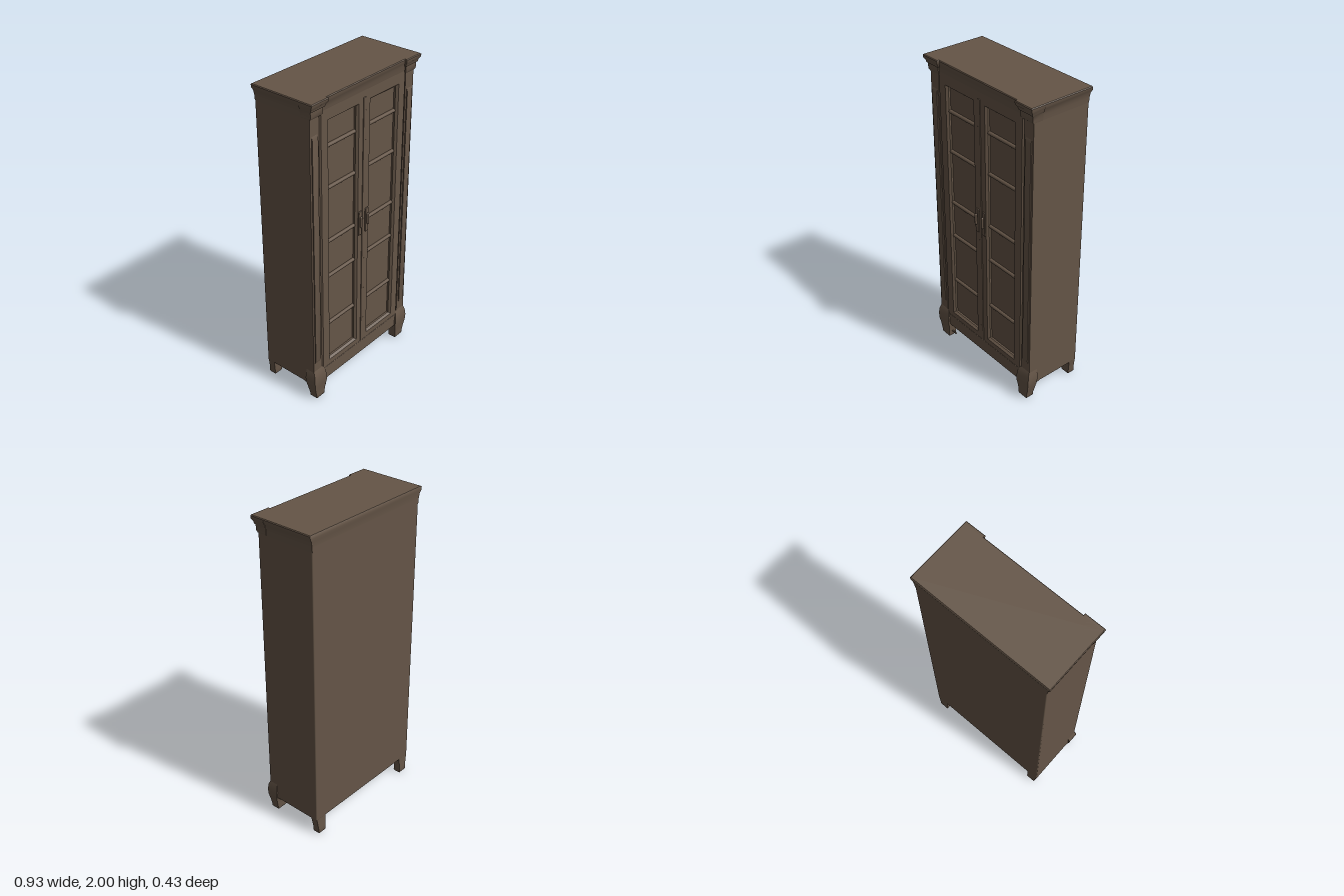
import * as THREE from 'three';
import { toCreasedNormals } from 'three/addons/utils/BufferGeometryUtils.js';
import { RoundedBoxGeometry } from 'three/addons/geometries/RoundedBoxGeometry.js';

const wood = new THREE.MeshStandardMaterial({ color: 0x655547 });
wood.name = 'brown wood';

export function createModel() {
  const model = new THREE.Group();
  model.name = 'cabinet';

  const add = (name, geometry) => {
    const mesh = new THREE.Mesh(geometry, wood);
    mesh.name = name;
    model.add(mesh);
    return mesh;
  };

  // Rounded box given by its limits
  const box = (name, x0, x1, y0, y1, z0, z1, r = 0.004) =>
    add(name, new RoundedBoxGeometry(x1 - x0, y1 - y0, z1 - z0, 2, r))
      .position.set((x0 + x1) / 2, (y0 + y1) / 2, (z0 + z1) / 2);

  // Stack of rectangles [y, x0, x1, z0, z1], bottom to top, with capped ends
  const loft = (name, rows) => {
    const pos = [], idx = [];
    for (const [y, x0, x1, z0, z1] of rows) pos.push(x0, y, z1, x1, y, z1, x1, y, z0, x0, y, z0);
    for (let i = 0; i < rows.length - 1; i++) {
      for (let k = 0; k < 4; k++) {
        const a = i * 4 + k, b = i * 4 + (k + 1) % 4;
        idx.push(a, b, b + 4, a, b + 4, a + 4);
      }
    }
    const t = (rows.length - 1) * 4;
    idx.push(0, 2, 1, 0, 3, 2, t, t + 1, t + 2, t, t + 2, t + 3);
    const g = new THREE.BufferGeometry();
    g.setAttribute('position', new THREE.Float32BufferAttribute(pos, 3));
    g.setIndex(idx);
    return add(name, toCreasedNormals(g, 0.7));
  };

  // The same stack for the left (+x) or right (-x) side
  const sideLoft = (name, side, rows) =>
    loft(name, rows.map(([y, x0, x1, z0, z1]) => (side > 0 ? [y, x0, x1, z0, z1] : [y, -x1, -x0, z0, z1])));

  // Carcass; its front is the back of the door panels
  box('carcass', -0.445, 0.445, 0.11, 1.97, -0.21, 0.158, 0.006);

  // Door front with two tall openings and sloped moulding
  const rect = (shape, x0, x1, y0, y1) => {
    shape.moveTo(x0, y0);
    shape.lineTo(x1, y0);
    shape.lineTo(x1, y1);
    shape.lineTo(x0, y1);
    shape.closePath();
    return shape;
  };
  const front = rect(new THREE.Shape(), -0.36, 0.36, 0.125, 1.95);
  front.holes.push(
    rect(new THREE.Path(), 0.048, 0.305, 0.235, 1.855),
    rect(new THREE.Path(), -0.305, -0.048, 0.235, 1.855));
  add('doorFrame', new THREE.ExtrudeGeometry(front, {
    depth: 0.015, bevelEnabled: true, bevelThickness: 0.014, bevelSize: 0.011, bevelSegments: 1,
  })).position.z = 0.155;
  box('bottomRail', -0.36, 0.36, 0.11, 0.2, 0.1, 0.186);
  box('doorSeam', -0.011, 0.011, 0.2, 1.88, 0.17, 0.188, 0.003);

  // Cornice, stepped and flaring outward
  loft('cornice', [
    [1.9, -0.445, 0.445, -0.21, 0.18],
    [1.93, -0.447, 0.447, -0.21, 0.186],
    [1.96, -0.452, 0.452, -0.212, 0.19],
    [1.978, -0.463, 0.463, -0.215, 0.2],
    [1.995, -0.465, 0.465, -0.215, 0.202],
    [2.0, -0.461, 0.461, -0.212, 0.198],
  ]);

  for (const s of [1, -1]) {
    // Corner pilaster with a shallow raised strip
    sideLoft('pilaster', s, [
      [0.11, 0.372, 0.445, 0.1, 0.18],
      [1.95, 0.372, 0.445, 0.1, 0.18],
    ]);
    sideLoft('pilasterStrip', s, [
      [0.28, 0.386, 0.432, 0.17, 0.18],
      [0.3, 0.386, 0.432, 0.17, 0.187],
      [1.78, 0.386, 0.432, 0.17, 0.187],
      [1.8, 0.386, 0.432, 0.17, 0.18],
    ]);

    // Stepped capital under the cornice corner
    sideLoft('capital', s, [
      [1.9, 0.36, 0.447, 0.12, 0.184],
      [1.912, 0.355, 0.449, 0.12, 0.192],
      [1.945, 0.353, 0.451, 0.12, 0.193],
      [1.95, 0.347, 0.455, 0.12, 0.2],
      [1.965, 0.34, 0.458, 0.12, 0.203],
      [1.978, 0.334, 0.465, 0.12, 0.213],
      [1.995, 0.332, 0.466, 0.12, 0.215],
      [2.0, 0.335, 0.462, 0.12, 0.211],
    ]);

    // Front leg: bulging knee tapering to a small foot
    sideLoft('frontLeg', s, [
      [0.0, 0.362, 0.425, 0.138, 0.184],
      [0.008, 0.358, 0.43, 0.134, 0.188],
      [0.03, 0.358, 0.432, 0.134, 0.188],
      [0.07, 0.352, 0.442, 0.13, 0.19],
      [0.11, 0.345, 0.451, 0.125, 0.196],
      [0.15, 0.346, 0.455, 0.12, 0.197],
      [0.19, 0.352, 0.451, 0.12, 0.192],
      [0.22, 0.365, 0.444, 0.12, 0.18],
    ]);

    // Back leg
    sideLoft('backLeg', s, [
      [0.0, 0.372, 0.425, -0.21, -0.17],
      [0.01, 0.368, 0.43, -0.214, -0.166],
      [0.04, 0.37, 0.43, -0.212, -0.167],
      [0.12, 0.366, 0.442, -0.209, -0.16],
    ]);

    // Horizontal glazing bars
    for (const y of [0.5, 0.84, 1.08, 1.43, 1.69]) {
      const bar = add('glazingBar', new THREE.CylinderGeometry(0.012, 0.012, 0.25, 10));
      bar.rotation.z = Math.PI / 2;
      bar.position.set(s * 0.176, y, 0.161);
    }

    // Door handle on a narrow backplate
    box('handlePlate', s * 0.03 - 0.014, s * 0.03 + 0.014, 1.01, 1.17, 0.178, 0.191, 0.004);
    const grip = add('handleGrip', new THREE.CapsuleGeometry(0.008, 0.06, 4, 10));
    grip.position.set(s * 0.03, 1.1, 0.197);
  }

  // Small peg on the inside of one front leg
  const peg = add('legPeg', new THREE.CylinderGeometry(0.005, 0.005, 0.05, 8));
  peg.rotation.z = Math.PI / 2;
  peg.position.set(-0.343, 0.036, 0.16);

  return model;
}
